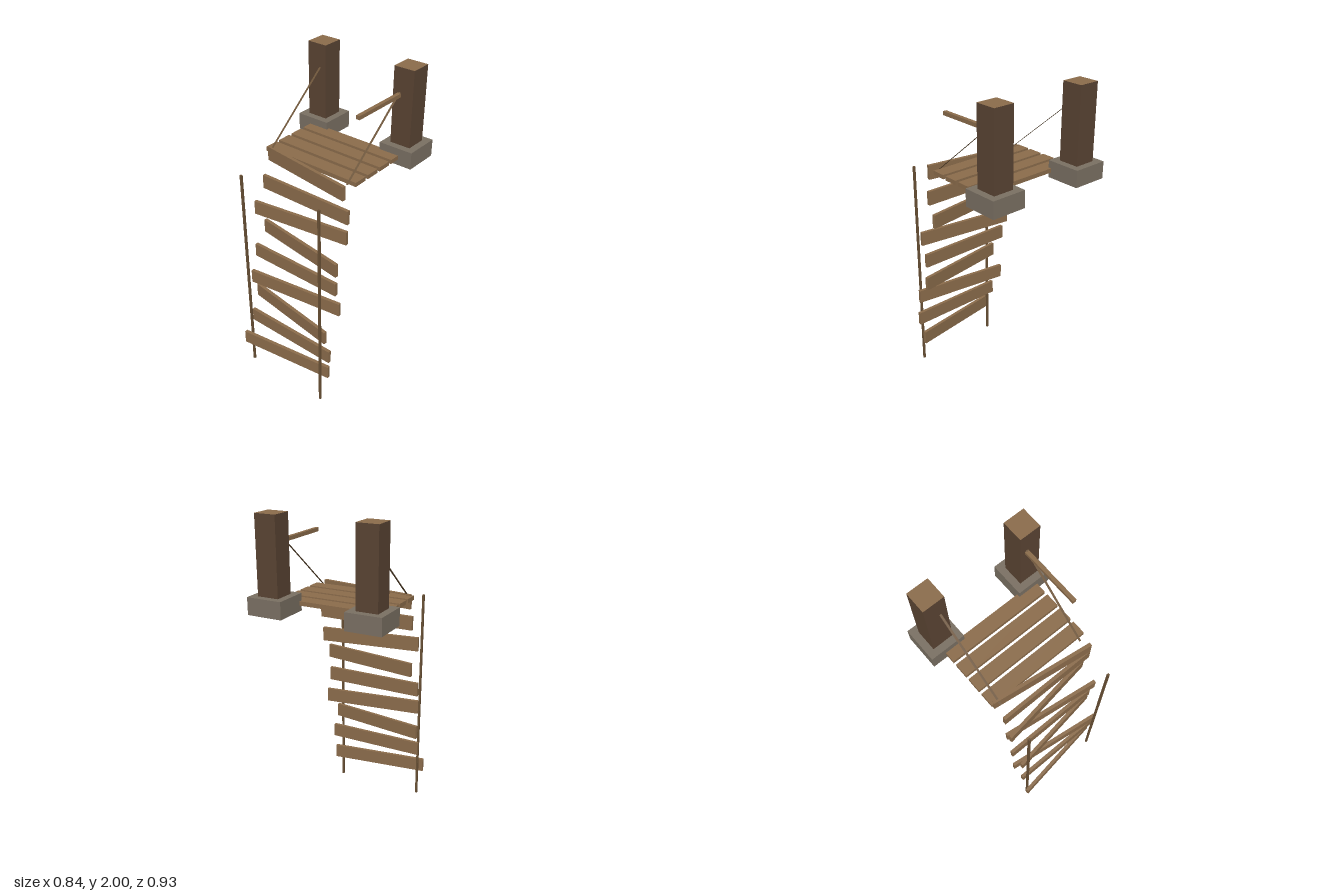
import * as THREE from 'three';

const mat = (name, color, side = THREE.FrontSide) => {
  const m = new THREE.MeshStandardMaterial({ color, side });
  m.name = name;
  return m;
};

export function createModel() {
  const model = new THREE.Group();
  model.name = 'ropeLadderPlatform';
  const wood = mat('plankWood', 0x8b6c4b);
  const bark = mat('darkPostWood', 0x5a4433, THREE.DoubleSide);
  const stone = mat('stone', 0x7a7063);
  const rope = mat('rope', 0x6b5236, THREE.DoubleSide);

  const add = (name, geo, material, x, y, z) => {
    const mesh = new THREE.Mesh(geo, material);
    mesh.name = name;
    mesh.position.set(x, y, z);
    model.add(mesh);
    return mesh;
  };
  const box = (name, w, h, d, material, x, y, z) =>
    add(name, new THREE.BoxGeometry(w, h, d), material, x, y, z);

  // Stone footing: square collar with a socket for the post
  const square = (Type, s) => new Type([[-s, -s], [s, -s], [s, s], [-s, s]]
    .map(([x, y]) => new THREE.Vector2(x, y)));
  const collar = square(THREE.Shape, 0.111);
  collar.holes.push(square(THREE.Path, 0.067));
  const collarGeo = new THREE.ExtrudeGeometry(collar, { depth: 0.105, bevelEnabled: false });
  collarGeo.rotateX(-Math.PI / 2);

  // Posts with lighter end grain, and dark lining below them in the sockets
  const postFaces = [bark, bark, wood, bark, bark, bark];
  const liningGeo = new THREE.CylinderGeometry(0.066 * Math.SQRT2, 0.066 * Math.SQRT2, 0.03, 4, 1, true);
  liningGeo.rotateY(Math.PI / 4);
  for (const [side, s] of [['left', 1], ['right', -1]]) {
    const x = s * 0.311;
    add(side + 'Footing', collarGeo, stone, x, 1.428, -0.353);
    box(side + 'Post', 0.133, 0.54, 0.133, postFaces, x, 1.73, -0.353);
    add(side + 'SocketLining', liningGeo, bark, x, 1.446, -0.353);

    // Hanging ladder rope
    const rx = s * 0.2885;
    box(side + 'LadderRope', 0.013, 1.425, 0.013, rope, rx, 0.7125, 0.418);

    // Flat stay from the post down to the platform edge
    const dy = 1.855 - 1.47, dz = 0.18 + 0.286;
    const stay = add(side + 'Stay', new THREE.PlaneGeometry(0.013, Math.hypot(dy, dz)),
      rope, rx, (1.855 + 1.47) / 2, (0.18 - 0.286) / 2);
    stay.rotation.x = -Math.atan2(dz, dy);
  }

  // Short rail reaching forward from the left post
  box('rail', 0.023, 0.023, 0.38, wood, 0.287, 1.838, -0.096);

  // Platform planks
  for (let i = 0; i < 4; i++)
    box('platformPlank' + (i + 1), 0.665, 0.026, 0.088, wood, 0, 1.475, -0.219 + i * 0.111);

  // Ladder rungs, twisted in a repeating pattern of three
  for (let i = 0; i < 9; i++) {
    const rung = box('rung' + (i + 1), 0.638, 0.088, 0.021, wood,
      i % 2 ? 0.016 : -0.002, 1.449 - i * 0.1553, 0.193 + i * 0.0269);
    rung.rotation.y = ((i % 3) - 1) * 0.137;
  }
  return model;
}
